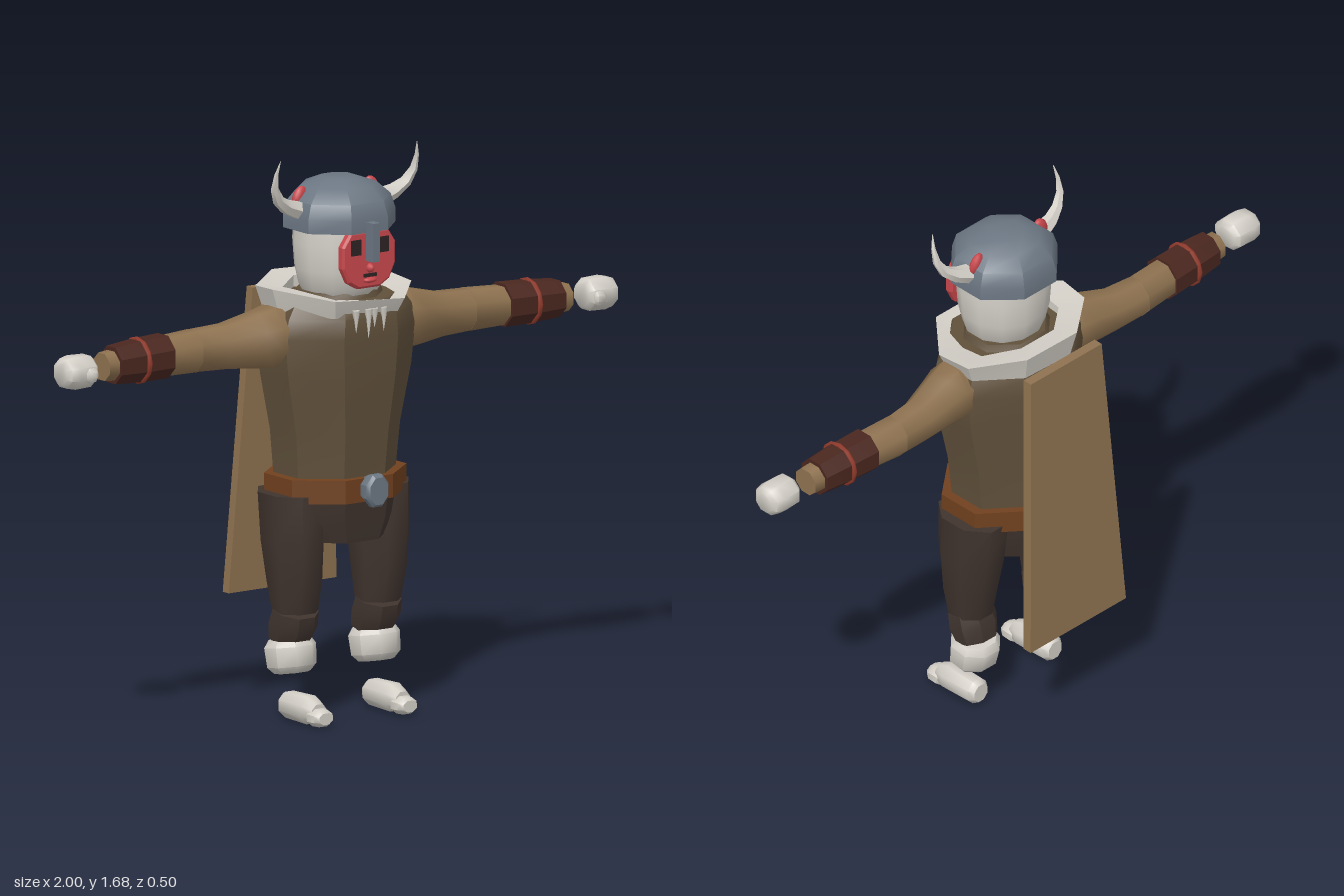
import * as THREE from 'three';
import { toCreasedNormals } from 'three/addons/utils/BufferGeometryUtils.js';

const mat = (name, color) => {
  const m = new THREE.MeshStandardMaterial({ color });
  m.name = name;
  return m;
};

// Skins loops of points; optional end caps
function skin(loops, caps, crease) {
  const n = loops[0].length, pos = loops.flat().flat(), idx = [];
  for (let i = 0; i < loops.length - 1; i++)
    for (let j = 0; j < n; j++) {
      const k = (j + 1) % n, a = i * n + j, b = i * n + k;
      idx.push(a, b, b + n, a, b + n, a + n);
    }
  if (caps) {
    const t = (loops.length - 1) * n;
    for (let j = 1; j < n - 1; j++) idx.push(0, j + 1, j, t, t + j, t + j + 1);
  }
  const g = new THREE.BufferGeometry();
  g.setAttribute('position', new THREE.Float32BufferAttribute(pos, 3));
  g.setIndex(idx);
  return toCreasedNormals(g, crease);
}

// Polygonal loft along an axis; ring = [along, centreU, centreV, radiusU, radiusV]
// (u, v) is (z, x) for axis y, (y, z) for axis x and (x, y) for axis z
function loft(axis, rings, crease = 0.9, n = 8) {
  const w = 'xyz'.indexOf(axis), f = 1 / Math.cos(Math.PI / n);
  const loops = rings.map(([h, cu, cv, ru, rv]) => Array.from({ length: n }, (_, j) => {
    const a = (j + 0.5) * 2 * Math.PI / n, p = [0, 0, 0];
    p[w] = h;
    p[(w + 1) % 3] = cu + ru * f * Math.cos(a);
    p[(w + 2) % 3] = cv + rv * f * Math.sin(a);
    return p;
  }));
  return skin(loops, true, crease);
}

// Horn: tube narrowing to a point
function horn(points) {
  const c = new THREE.CatmullRomCurve3(points.map(p => new THREE.Vector3(...p)));
  const steps = 6, sides = 6, g = new THREE.TubeGeometry(c, steps, 0.034, sides);
  const p = g.attributes.position, v = new THREE.Vector3();
  for (let i = 0; i < p.count; i++) {
    const t = Math.floor(i / (sides + 1)) / steps, o = c.getPointAt(t);
    v.fromBufferAttribute(p, i).sub(o).multiplyScalar(1 - 0.97 * t).add(o);
    p.setXYZ(i, v.x, v.y, v.z);
  }
  return toCreasedNormals(g, 0.8);
}

export function createModel() {
  const root = new THREE.Group();
  root.name = 'hornedWarrior';
  const tan = mat('tanCloth', 0x8e7250), tunic = mat('tunicBrown', 0x60503b);
  const trouser = mat('trouserBrown', 0x40342e), leather = mat('beltLeather', 0x70401f);
  const bracer = mat('bracerLeather', 0x4a271f), fur = mat('paleFur', 0xd3cfc7);
  const steel = mat('steel', 0x6c7783), red = mat('maskRed', 0xc8474c);
  const rust = mat('rustRed', 0x903a2c), dark = mat('darkSlots', 0x2c2223);

  const add = (name, geo, m, x = 0, y = 0, z = 0) => {
    const o = new THREE.Mesh(geo, m);
    o.name = name;
    o.position.set(x, y, z);
    root.add(o);
    return o;
  };
  const box = (name, w, h, d, m, x, y, z) => add(name, new THREE.BoxGeometry(w, h, d), m, x, y, z);
  const ball = (name, rx, ry, rz, m, x, y, z) => {
    const o = add(name, new THREE.SphereGeometry(1, 10, 8), m, x, y, z);
    o.scale.set(rx, ry, rz);
    return o;
  };

  // Torso, neck, hips, belt
  add('tunic', loft('y', [[0.69, 0.035, 0, 0.145, 0.175], [0.74, 0.035, 0, 0.148, 0.178],
    [0.86, 0.037, 0, 0.157, 0.188], [1.03, 0.04, 0, 0.17, 0.222], [1.15, 0.04, 0, 0.176, 0.235],
    [1.21, 0.04, 0, 0.174, 0.222], [1.255, 0.04, 0, 0.15, 0.19]], 0.6), tunic);
  add('neck', loft('y', [[1.23, 0.045, 0, 0.13, 0.14], [1.275, 0.05, 0, 0.11, 0.12]]), tunic);
  add('hips', loft('y', [[0.535, 0.04, 0, 0.135, 0.14], [0.6, 0.04, 0, 0.145, 0.175],
    [0.69, 0.04, 0, 0.155, 0.19]], 0.6), trouser);
  add('belt', loft('y', [[0.66, 0.038, 0, 0.168, 0.207], [0.73, 0.038, 0, 0.168, 0.207]], 0.5), leather);
  add('buckle', loft('z', [[0.2, 0, 0.697, 0.03, 0.036], [0.228, 0, 0.697, 0.04, 0.048],
    [0.245, 0, 0.697, 0.04, 0.048], [0.255, 0, 0.697, 0.032, 0.04]], 0.6), steel);
  add('tail', loft('z', [[-0.2, 0, 0.697, 0.024, 0.03], [-0.185, 0, 0.697, 0.033, 0.042],
    [-0.14, 0, 0.697, 0.033, 0.042], [-0.115, 0, 0.697, 0.025, 0.03]]), fur);

  // Fur collar: uneven octagonal ring, raised at the back
  const rim = [[0.11, 1.255, 0.23], [0.245, 1.265, 0.08], [0.245, 1.275, -0.04], [0.11, 1.295, -0.15],
    [-0.085, 1.3, -0.158], [-0.232, 1.29, -0.04], [-0.243, 1.295, 0.06], [-0.13, 1.27, 0.215]];
  const ring = (s, y, lift) => rim.map(p =>
    [p[0] * s, lift ? p[1] + y : y, 0.04 + (p[2] - 0.04) * s]);
  const under = ring(0.9, 1.215, false);
  add('collar', skin([under, ring(1, 0, true), ring(0.66, -0.01, true), ring(0.66, 1.22, false), under],
    false, 0.4), fur);
  [[-0.055, 0.07], [-0.01, 0.095], [0.045, 0.075], [0.012, 0.06]].forEach(([x, h]) => {
    add('furTip', new THREE.ConeGeometry(0.012, h, 6), fur, x, 1.235 - h / 2, 0.215).rotation.x = Math.PI;
  });

  // Head and helmet
  add('head', loft('y', [[1.255, 0.06, 0, 0.095, 0.1], [1.285, 0.06, 0, 0.115, 0.12],
    [1.34, 0.06, 0, 0.127, 0.132], [1.42, 0.06, 0, 0.132, 0.138], [1.5, 0.06, 0, 0.125, 0.13]], 0.9, 12), fur);
  add('helmet', loft('y', [[1.46, 0.058, 0, 0.15, 0.158], [1.5, 0.058, 0, 0.15, 0.158],
    [1.545, 0.058, 0, 0.138, 0.144], [1.583, 0.055, 0, 0.1, 0.105], [1.603, 0.05, 0, 0.05, 0.052]], 0.7), steel);
  box('noseGuard', 0.025, 0.115, 0.04, steel, 0, 1.435, 0.222);

  // Mask with eye and mouth slots
  const half = [[0.04, 1.295], [0.075, 1.315], [0.097, 1.36], [0.097, 1.425], [0.07, 1.465]];
  const outline = [...half, ...half.map(([x, y]) => [-x, y]).reverse()];
  const shape = new THREE.Shape(outline.map(p => new THREE.Vector2(p[0] * 0.92, 1.38 + (p[1] - 1.38) * 0.92)));
  add('mask', new THREE.ExtrudeGeometry(shape, { depth: 0.016, bevelThickness: 0.006, bevelSize: 0.007,
    bevelSegments: 1 }), red, 0, 0, 0.185);
  ball('maskNose', 0.012, 0.014, 0.016, red, 0, 1.355, 0.208);
  ball('maskLip', 0.024, 0.008, 0.013, red, 0, 1.319, 0.208);
  box('mouth', 0.046, 0.01, 0.006, dark, 0, 1.334, 0.208);

  const mirror = (s, rings) => {
    const r = rings.map(([x, ...rest]) => [x * s, ...rest]);
    return s < 0 ? r.reverse() : r;
  };
  for (const s of [1, -1]) {
    const side = s > 0 ? 'left' : 'right';
    const limb = (name, rings, m, crease) => add(side + name, loft('x', mirror(s, rings), crease), m);
    const leg = (name, rings, m, crease) =>
      add(side + name, loft('y', rings.map(([y, z, x, rz, rx]) => [y, z, x * s, rz, rx]), crease), m);

    // Eye slots, horns and helmet studs
    box(side + 'Eye', 0.034, 0.046, 0.006, dark, s * 0.05, 1.42, 0.208);
    add(side + 'Horn', horn([[0.11, 1.51, 0.055], [0.18, 1.53, 0.06], [0.225, 1.555, 0.07],
      [0.255, 1.61, 0.085], [0.247, 1.685, 0.105]].map(([x, y, z]) => [x * s, y, z])), fur);
    ball(side + 'Stud', 0.022, 0.034, 0.014, red, s * 0.132, 1.555, 0.04).rotation.z = s * 0.5;

    // Arms
    limb('UpperArm', [[0.16, 1.15, 0.04, 0.075, 0.07], [0.24, 1.153, 0.038, 0.088, 0.08],
      [0.29, 1.147, 0.032, 0.08, 0.07], [0.39, 1.138, 0.016, 0.064, 0.057],
      [0.5, 1.137, 0.01, 0.06, 0.052]], tan);
    limb('Forearm', [[0.495, 1.137, 0.01, 0.061, 0.053], [0.62, 1.137, 0.02, 0.056, 0.054],
      [0.72, 1.136, 0.027, 0.05, 0.05], [0.84, 1.135, 0.03, 0.04, 0.04]], tan);
    limb('Bracer', [[0.61, 1.138, 0.02, 0.063, 0.062], [0.71, 1.137, 0.025, 0.061, 0.06],
      [0.805, 1.136, 0.029, 0.054, 0.053]], bracer, 0.6);
    add(side + 'BracerBand', new THREE.TorusGeometry(0.063, 0.008, 6, 12), rust,
      s * 0.707, 1.137, 0.025).rotation.y = Math.PI / 2;
    limb('Hand', [[0.888, 1.135, 0.042, 0.033, 0.035], [0.903, 1.135, 0.042, 0.046, 0.05],
      [0.96, 1.135, 0.042, 0.048, 0.052], [0.988, 1.135, 0.042, 0.042, 0.045],
      [1.0, 1.135, 0.042, 0.03, 0.03]], fur);
    limb('Thumb', [[0.9, 1.13, 0.085, 0.016, 0.01], [0.908, 1.13, 0.088, 0.021, 0.015],
      [0.93, 1.13, 0.088, 0.021, 0.015], [0.94, 1.13, 0.085, 0.014, 0.01]], fur);

    // Legs
    leg('Thigh', [[0.325, 0.045, 0.15, 0.064, 0.064], [0.42, 0.045, 0.153, 0.082, 0.076],
      [0.54, 0.037, 0.155, 0.1, 0.084], [0.68, 0.028, 0.155, 0.11, 0.085]], trouser);
    const shin = leg('Shin', [[-0.05, -0.003, 0.15, 0.054, 0.062], [0, 0, 0.15, 0.066, 0.07],
      [0.045, 0, 0.15, 0.06, 0.066]], trouser, 0.6);
    shin.position.set(0, 0.285, 0.035);
    shin.rotation.x = 0.28;
    const cuff = leg('FurCuff', [[-0.05, 0, 0.152, 0.045, 0.052], [-0.03, 0, 0.152, 0.064, 0.07],
      [0.028, 0, 0.152, 0.07, 0.073], [0.05, 0, 0.152, 0.055, 0.06]], fur);
    cuff.position.set(0, 0.19, 0.027);
    cuff.rotation.x = -0.15;

    // Feet
    add(side + 'Foot', loft('z', [[0.0, s * 0.152, 0.043, 0.026, 0.028], [0.018, s * 0.152, 0.043, 0.038, 0.038],
      [0.125, s * 0.152, 0.043, 0.04, 0.041], [0.165, s * 0.152, 0.04, 0.026, 0.026]]), fur);
    add(side + 'Toes', loft('z', [[0.14, s * 0.152, 0.028, 0.028, 0.022], [0.152, s * 0.152, 0.028, 0.035, 0.027],
      [0.185, s * 0.152, 0.028, 0.034, 0.025], [0.2, s * 0.152, 0.028, 0.024, 0.017]]), fur);
  }

  // Stiff cape, wider and further back at the hem
  const cape = (y, z, w) => [[w, y, z], [w, y, z - 0.03], [-w, y, z - 0.03], [-w, y, z]];
  add('cape', skin([cape(0.337, -0.22, 0.195), cape(1.25, -0.17, 0.145)], true, 0.3), tan);

  return root;
}
